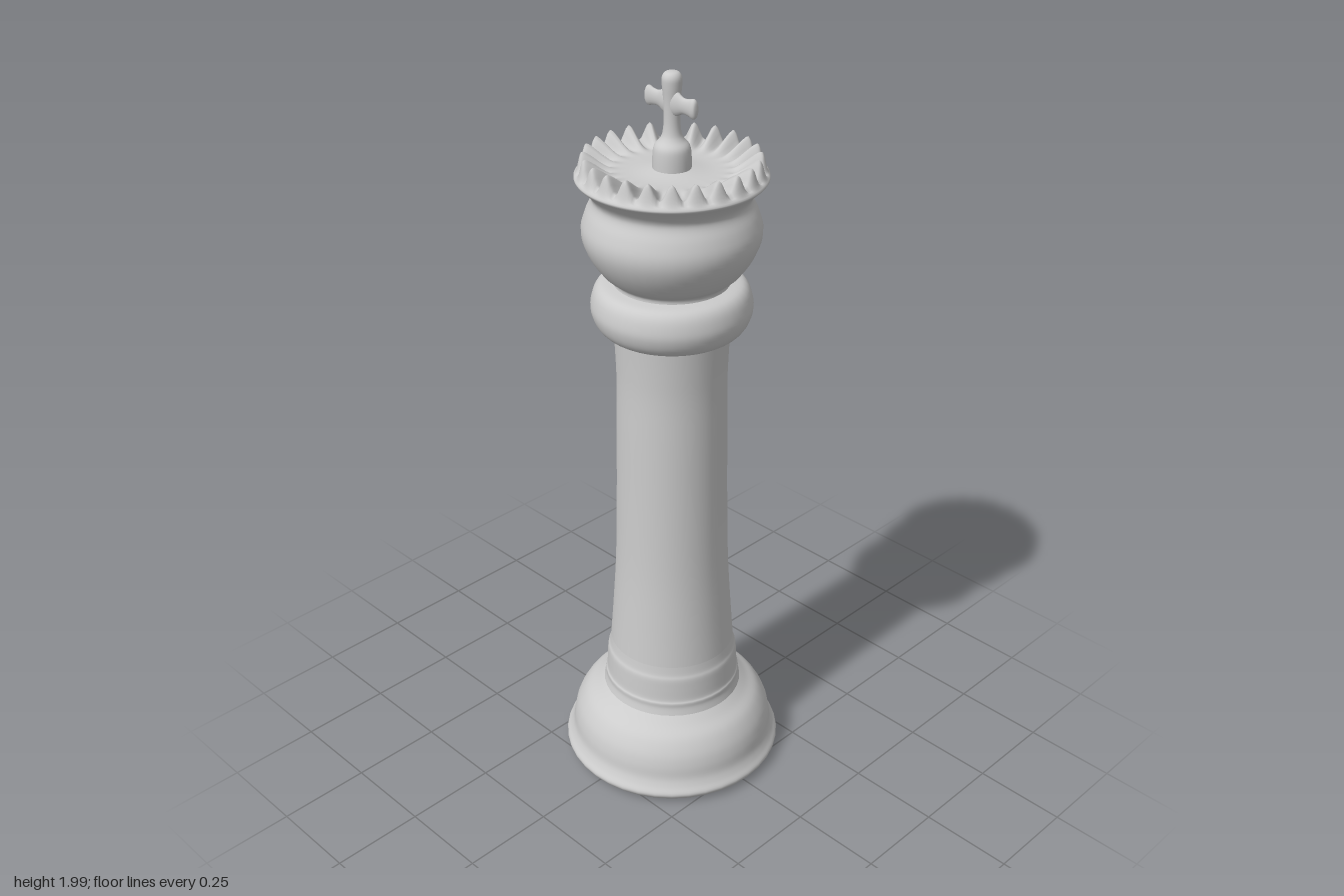
import * as THREE from 'three';
import { mergeVertices } from 'three/addons/utils/BufferGeometryUtils.js';

const material = new THREE.MeshStandardMaterial({ color: 0xcccccc, side: THREE.DoubleSide });

// Smooth curve through [radius, height] pairs
function profile(pairs, steps = 4) {
  const curve = new THREE.SplineCurve(pairs.map(([r, y]) => new THREE.Vector2(r, y)));
  const points = curve.getPoints((pairs.length - 1) * steps);
  points.forEach((p) => { p.x = Math.max(p.x, 0); });
  return points;
}

function turned(name, pairs, segments = 40) {
  const mesh = new THREE.Mesh(new THREE.LatheGeometry(profile(pairs), segments), material);
  mesh.name = name;
  return mesh;
}

// Scalloped dish: a turned surface whose outer rings rise and fall around the rim
function crown() {
  const teeth = 24;
  const pairs = [
    [0.234, 1.738], [0.237, 1.745], [0.228, 1.757], [0.22, 1.775], [0.212, 1.78],
    [0.195, 1.773], [0.17, 1.763], [0.14, 1.757], [0.09, 1.757], [0.04, 1.765],
  ];
  const geometry = new THREE.LatheGeometry(profile(pairs, 3), teeth * 8);
  const pos = geometry.attributes.position;
  for (let i = 0; i < pos.count; i++) {
    const x = pos.getX(i), z = pos.getZ(i), y = pos.getY(i);
    const r = Math.hypot(x, z);
    const inner = THREE.MathUtils.smoothstep(r, 0.13, 0.21);
    const outer = 1 - THREE.MathUtils.smoothstep(r, 0.218, 0.233);
    const wave = Math.cos(teeth * Math.atan2(x, z));
    pos.setY(i, y + 0.021 * inner * outer * wave);
  }
  geometry.deleteAttribute('uv');
  geometry.deleteAttribute('normal');
  const smooth = mergeVertices(geometry, 1e-5);
  smooth.computeVertexNormals();
  const mesh = new THREE.Mesh(smooth, material);
  mesh.name = 'scallopedCrown';
  return mesh;
}

// Finial: small pedestal and post with two flattened arms along z
function finial() {
  const group = new THREE.Group();
  group.name = 'crossFinial';
  group.add(turned('finialPost', [
    [0.048, 1.755], [0.047, 1.795], [0.043, 1.818], [0.03, 1.834], [0.023, 1.85],
    [0.02, 1.88], [0.021, 1.93], [0.024, 1.965], [0.024, 1.985], [0.016, 1.997], [0, 2],
  ], 24));
  for (const side of [1, -1]) {
    const arm = turned('crossArm', [
      [0.036, 0], [0.03, 0.02], [0.02, 0.04], [0.021, 0.06],
      [0.025, 0.074], [0.018, 0.082], [0, 0.084],
    ], 20);
    arm.position.set(-0.003, 1.925, 0);
    arm.rotation.x = side * Math.PI / 2;
    arm.scale.x = 0.45;
    group.add(arm);
  }
  return group;
}

export function createModel() {
  const model = new THREE.Group();
  model.name = 'chessPiece';

  // Hollow foot, open underneath
  model.add(turned('foot', [
    [0.262, 0.03], [0.265, 0.008], [0.285, 0.012], [0.3, 0.026], [0.304, 0.04],
    [0.293, 0.058], [0.284, 0.08], [0.279, 0.115], [0.268, 0.15], [0.245, 0.186],
    [0.215, 0.21], [0.193, 0.23],
  ]));
  // Stepped band above the foot
  model.add(turned('lowerBand', [
    [0.193, 0.23], [0.188, 0.25], [0.188, 0.265], [0.184, 0.275], [0.182, 0.31],
    [0.18, 0.34], [0.175, 0.355], [0.171, 0.38],
  ]));
  model.add(turned('shaft', [
    [0.171, 0.38], [0.162, 0.5], [0.153, 0.65], [0.148, 0.85], [0.145, 1.05],
    [0.143, 1.18], [0.145, 1.26], [0.149, 1.345],
  ]));
  model.add(turned('collar', [
    [0.147, 1.338], [0.175, 1.342], [0.194, 1.362], [0.204, 1.39], [0.204, 1.415],
    [0.195, 1.445], [0.178, 1.462], [0.148, 1.468],
  ]));
  // Rounded head flaring out to the rim
  model.add(turned('head', [
    [0.148, 1.465], [0.15, 1.48], [0.175, 1.5], [0.203, 1.54], [0.22, 1.58],
    [0.223, 1.615], [0.213, 1.65], [0.199, 1.68], [0.199, 1.698], [0.213, 1.718],
    [0.234, 1.738],
  ]));
  model.add(crown(), finial());
  return model;
}
